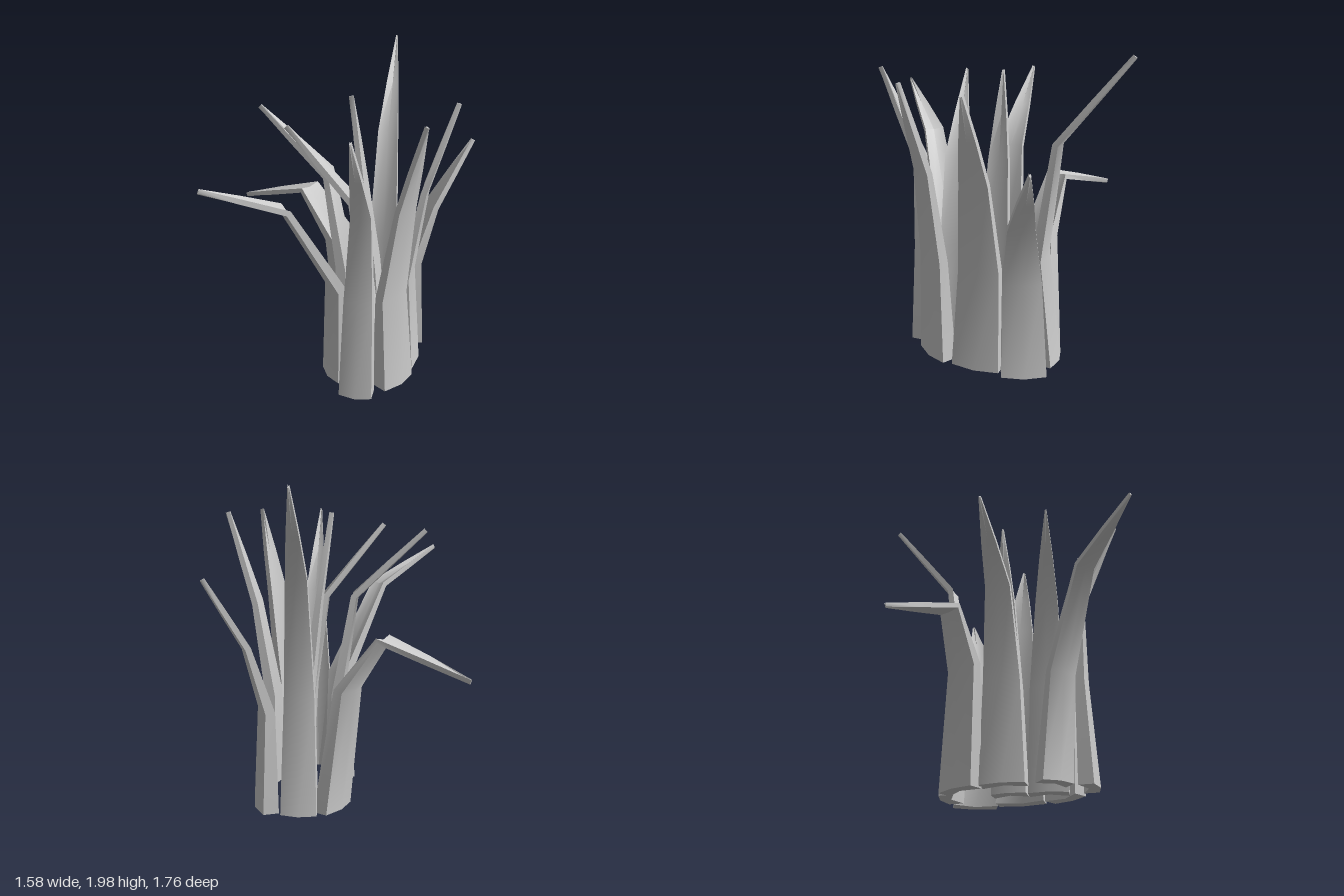
import * as THREE from 'three';
import { toCreasedNormals } from 'three/addons/utils/BufferGeometryUtils.js';

// Cross-section across (width, outward): ridged outside, grooved inside
const SECTION = [[1, -0.5], [1, 0.3], [0, 0.5], [-1, 0.3], [-1, -0.5], [0, -0.1]];
// Taper from base to tip: full widths relative to the base, and thickness
const WIDTH = [1, 0.84, 0.58, 0.34, 0.04];
const THICK = [0.12, 0.075, 0.045, 0.04, 0.03];

// Path points run base, lower stem, knee, tip; heading is the outward (x, z) direction
const BLADES = [
  { name: 'backBlade', heading: [0, -1], width: 0.22, path: [[0.23, 0.02, -0.44], [0.23, 0.73, -0.37], [0.23, 1.46, -0.46], [0.205, 1.99, -0.87]] },
  { name: 'backLeftBlade', heading: [0.93, -0.37], width: 0.28, path: [[0.46, 0.02, -0.34], [0.45, 0.64, -0.32], [0.56, 1.03, -0.35], [0.78, 1.45, -0.47]] },
  { name: 'leftBlade', heading: [1, 0], width: 0.31, path: [[0.485, 0.03, -0.04], [0.45, 0.68, -0.05], [0.54, 1.26, -0.055], [0.71, 1.82, -0.06]] },
  { name: 'frontLeftBlade', heading: [0.84, 0.54], width: 0.26, path: [[0.43, 0.03, 0.26], [0.4, 0.68, 0.28], [0.47, 1.27, 0.3], [0.58, 1.82, 0.38]] },
  { name: 'frontBlade', heading: [0, 1], width: 0.21, path: [[0.215, 0.03, 0.45], [0.22, 0.7, 0.425], [0.23, 1.27, 0.43], [0.216, 1.81, 0.68]] },
  { name: 'frontRightBlade', heading: [-0.75, 0.66], width: 0.21, path: [[0.04, 0.03, 0.27], [0.05, 0.72, 0.32], [-0.2, 1.31, 0.53], [-0.57, 1.54, 0.87]] },
  { name: 'innerFrontBlade', heading: [-1, 0.12], width: 0.25, path: [[0.28, 0.03, 0.18], [0.22, 0.7, 0.19], [0.13, 1.27, 0.22], [-0.24, 1.73, 0.3]] },
  { name: 'innerBlade', heading: [-1, 0], width: 0.22, path: [[0.25, 0.03, -0.06], [0.21, 0.7, -0.06], [0.14, 1.28, -0.06], [0.065, 1.82, -0.06]] },
  { name: 'rightBlade', heading: [-1, 0], width: 0.28, path: [[0.01, 0.03, -0.04], [0.02, 0.7, -0.05], [-0.08, 1.31, -0.055], [-0.51, 1.715, -0.06]] },
  { name: 'backRightBlade', heading: [-0.88, -0.47], width: 0.27, path: [[0.03, 0.02, -0.32], [-0.06, 0.77, -0.28], [-0.27, 1.08, -0.31], [-0.78, 0.885, -0.52]] },
];

function bladeGeometry({ heading, width, path }) {
  const pts = path.map((p) => new THREE.Vector3(...p));
  pts.splice(3, 0, pts[2].clone().lerp(pts[3], 0.5));
  const out = new THREE.Vector3(heading[0], 0, heading[1]).normalize();
  const across = new THREE.Vector3(0, 1, 0).cross(out);

  // One ring per station, square to the path
  const rings = pts.map((p, i) => {
    const tangent = new THREE.Vector3(0, 1, 0);
    if (i > 0) {
      tangent.subVectors(p, pts[i - 1]).normalize();
      if (i < pts.length - 1) tangent.add(pts[i + 1].clone().sub(p).normalize());
    }
    const normal = across.clone().cross(tangent).normalize();
    return SECTION.map(([w, n]) => p.clone()
      .addScaledVector(across, w * width * WIDTH[i] / 2)
      .addScaledVector(normal, n * THICK[i]));
  });

  const verts = [];
  const tri = (...corners) => corners.forEach((v) => verts.push(v.x, v.y, v.z));
  const n = SECTION.length;
  for (let i = 0; i < rings.length - 1; i++) {
    for (let s = 0; s < n; s++) {
      const a = rings[i][s], b = rings[i][(s + 1) % n];
      const c = rings[i + 1][s], d = rings[i + 1][(s + 1) % n];
      tri(a, c, b);
      tri(b, c, d);
    }
  }
  // End caps, fanned from the groove
  const last = rings[rings.length - 1];
  for (let s = 0; s < n - 2; s++) {
    tri(rings[0][n - 1], rings[0][s], rings[0][s + 1]);
    tri(last[n - 1], last[s + 1], last[s]);
  }
  const geo = new THREE.BufferGeometry();
  geo.setAttribute('position', new THREE.Float32BufferAttribute(verts, 3));
  return toCreasedNormals(geo, 0.8);
}

export function createModel() {
  const group = new THREE.Group();
  group.name = 'grassClump';
  const material = new THREE.MeshStandardMaterial({ color: 0xcccccc });
  for (const blade of BLADES) {
    const mesh = new THREE.Mesh(bladeGeometry(blade), material);
    mesh.name = blade.name;
    group.add(mesh);
  }
  return group;
}
